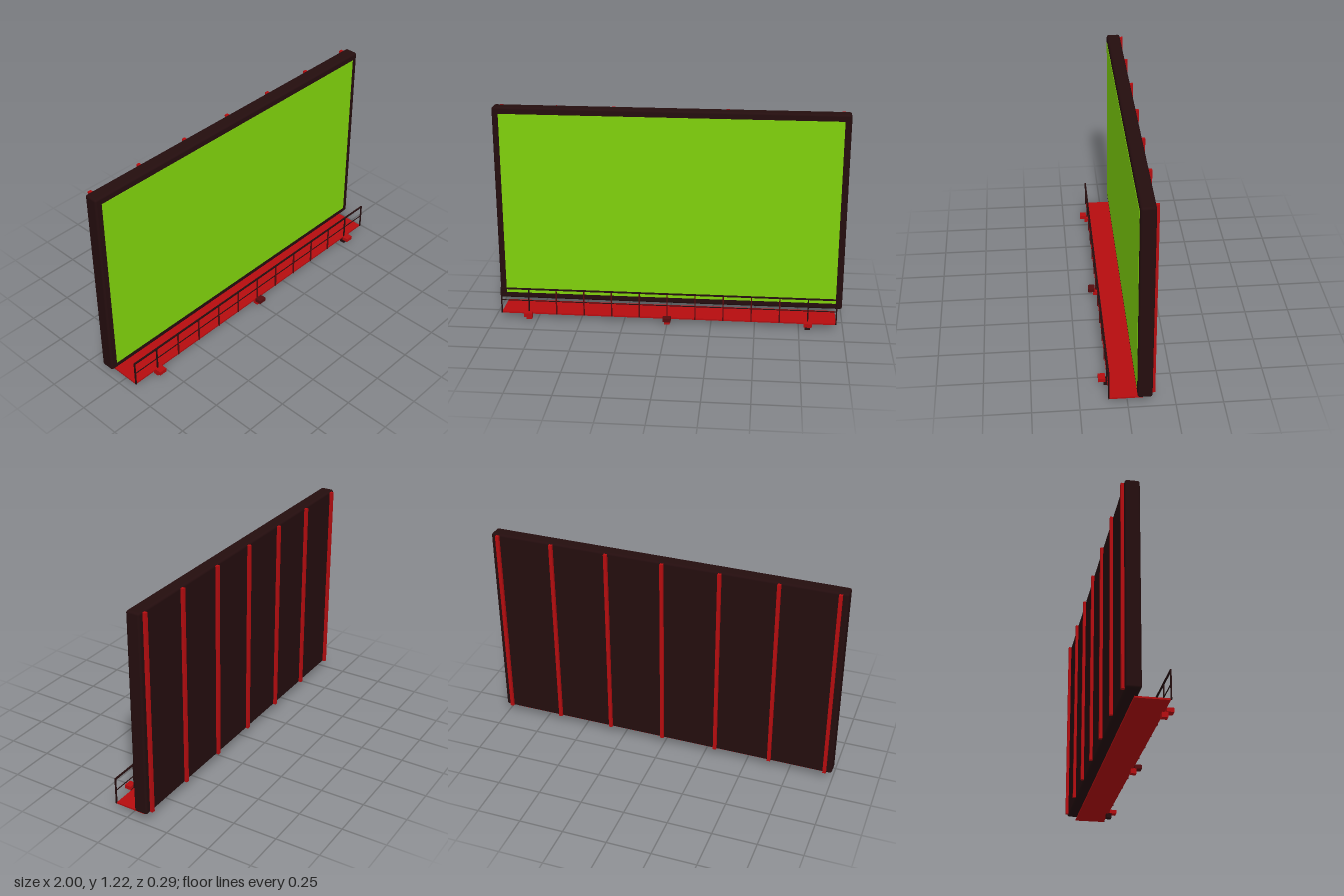
import * as THREE from 'three';
import { RoundedBoxGeometry } from 'three/addons/geometries/RoundedBoxGeometry.js';

const mat = (name, color) => {
  const m = new THREE.MeshStandardMaterial({ color });
  m.name = name;
  return m;
};

export function createModel() {
  const dark = mat('dark frame', 0x240d0e);
  const red = mat('red steel', 0xb60c0f);
  const maroon = mat('maroon rail', 0x560b0e);
  const green = mat('green screen', 0x80d20c);

  const model = new THREE.Group();
  model.name = 'billboard';

  // Box given by its limits on each axis
  const box = (name, material, [x0, x1], [y0, y1], [z0, z1], parent = model) => {
    const mesh = new THREE.Mesh(new THREE.BoxGeometry(x1 - x0, y1 - y0, z1 - z0), material);
    mesh.position.set((x0 + x1) / 2, (y0 + y1) / 2, (z0 + z1) / 2);
    mesh.name = name;
    parent.add(mesh);
    return mesh;
  };
  const around = (c, half) => [c - half, c + half];

  // Panel with softened edges
  const panel = new THREE.Mesh(new RoundedBoxGeometry(2, 1.155, 0.078, 3, 0.012), dark);
  panel.position.set(0, 0.6375, -0.088);
  panel.name = 'panel';
  model.add(panel);

  // Display surface
  box('screen', green, [-0.963, 0.963], [0.096, 1.177], [-0.052, -0.047]);

  // Vertical ribs on the back
  const ribs = new THREE.Group();
  ribs.name = 'backRibs';
  model.add(ribs);
  for (let i = -3; i <= 3; i++) {
    box('backRib', red, around(i * 0.32, 0.0095), [0.066, 1.21], [-0.143, -0.126], ribs);
  }

  // Walkway
  box('deck', red, [-0.96, 0.96], [0.027, 0.036], [-0.08, 0.095]);

  // Railing: posts and two rails
  const railing = new THREE.Group();
  railing.name = 'railing';
  model.add(railing);
  for (let i = -6; i <= 6; i++) {
    const material = Math.abs(i) > 4 ? dark : maroon;
    box('railPost', material, around(i * 0.16, 0.0035), [0.03, 0.182], around(0.097, 0.0035), railing);
  }
  box('topRail', dark, [-0.963, 0.963], [0.178, 0.186], around(0.097, 0.004), railing);
  box('midRail', dark, [-0.96, 0.96], [0.108, 0.112], around(0.097, 0.002), railing);

  // Floodlights along the front edge
  [-0.8, 0, 0.8].forEach((x) => {
    const lamp = new THREE.Group();
    lamp.name = 'floodlight';
    model.add(lamp);
    box('lampBracket', x > 0 ? dark : red, around(x, 0.016), [0, 0.03], [0.083, 0.114], lamp);
    box('lampHead', x === 0 ? maroon : red, around(x, 0.023), [0.027, 0.049], [0.105, 0.143], lamp);
  });

  return model;
}
